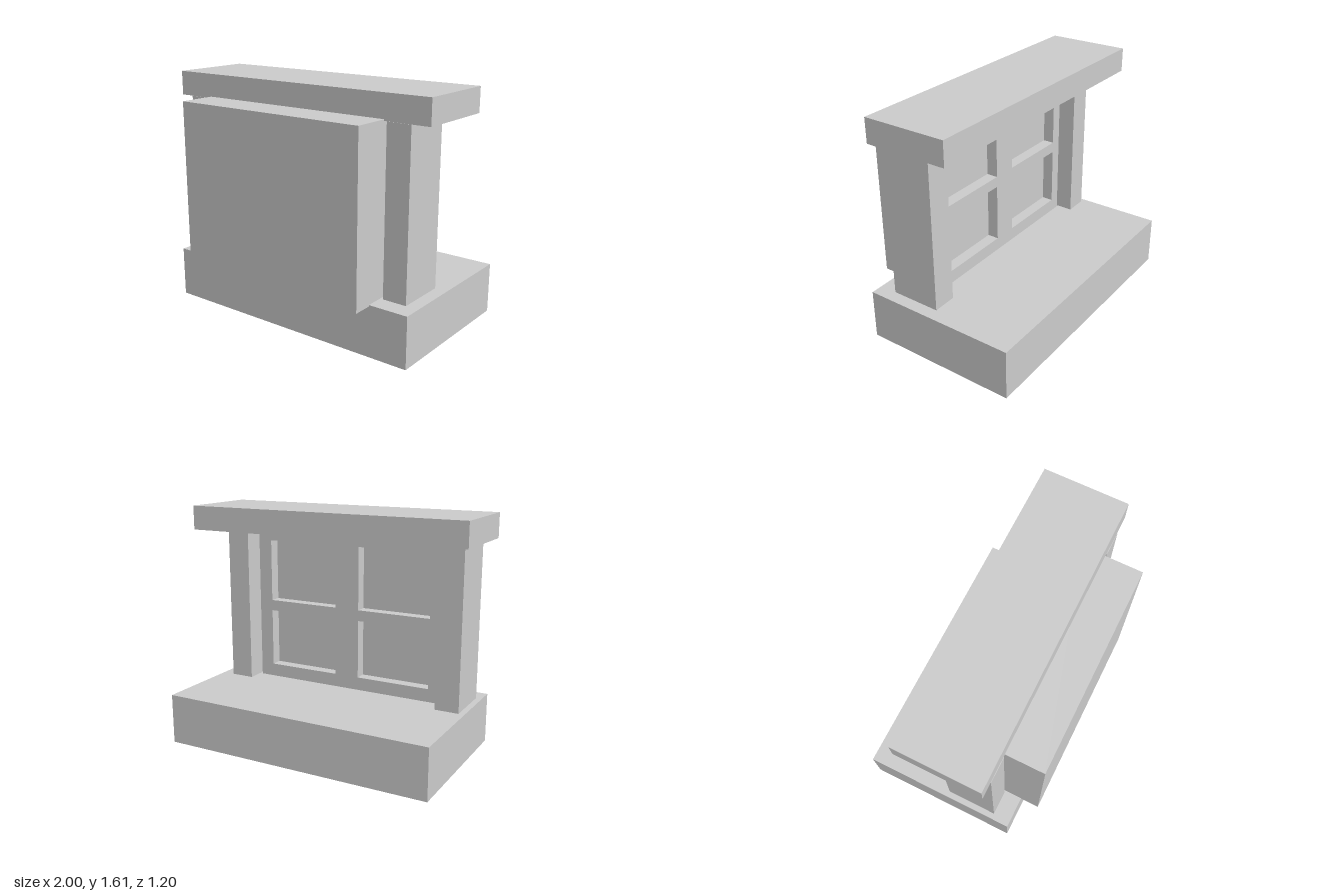
import * as THREE from 'three';

const material = new THREE.MeshStandardMaterial({ color: 0xcccccc, flatShading: true });

// Box given by its lower and upper limits on each axis
function block(name, [x0, x1], [y0, y1], [z0, z1]) {
  const mesh = new THREE.Mesh(new THREE.BoxGeometry(x1 - x0, y1 - y0, z1 - z0), material);
  mesh.position.set((x0 + x1) / 2, (y0 + y1) / 2, (z0 + z1) / 2);
  mesh.name = name;
  return mesh;
}

// Rectangle outline, used for the frame and its openings
function rectangle(PathType, [x0, x1], [y0, y1]) {
  return new PathType([[x0, y0], [x1, y0], [x1, y1], [x0, y1]].map(([x, y]) => new THREE.Vector2(x, y)));
}

export function createModel() {
  const model = new THREE.Group();
  model.name = 'windowStructure';

  // Base and top slabs
  model.add(block('base', [-0.94, 0.96], [0, 0.345], [-0.6, 0.47]));
  model.add(block('topSlab', [-1, 1], [1.445, 1.61], [-0.23, 0.345]));

  // Side posts
  model.add(block('rightPost', [-0.9, -0.735], [0.345, 1.445], [0, 0.348]));
  model.add(block('leftPost', [0.71, 0.875], [0.345, 1.445], [0, 0.348]));

  // Thick front panel
  const panel = new THREE.Group();
  panel.name = 'panel';
  const panelX = [-0.72, 0.69], panelY = [0.335, 1.455];
  const backZ = 0.115, recessZ = 0.195;
  panel.add(block('panelBody', panelX, panelY, [recessZ, 0.6]));

  // Four-opening frame on the back of the panel
  const outline = rectangle(THREE.Shape, panelX, panelY);
  for (const x of [[-0.64, -0.112], [0.064, 0.59]]) {
    for (const y of [[0.436, 0.843], [0.919, 1.355]]) {
      outline.holes.push(rectangle(THREE.Path, x, y));
    }
  }
  const frame = new THREE.Mesh(
    new THREE.ExtrudeGeometry(outline, { depth: recessZ - backZ, bevelEnabled: false }), material);
  frame.position.z = backZ;
  frame.name = 'windowFrame';
  panel.add(frame);
  model.add(panel);

  return model;
}
